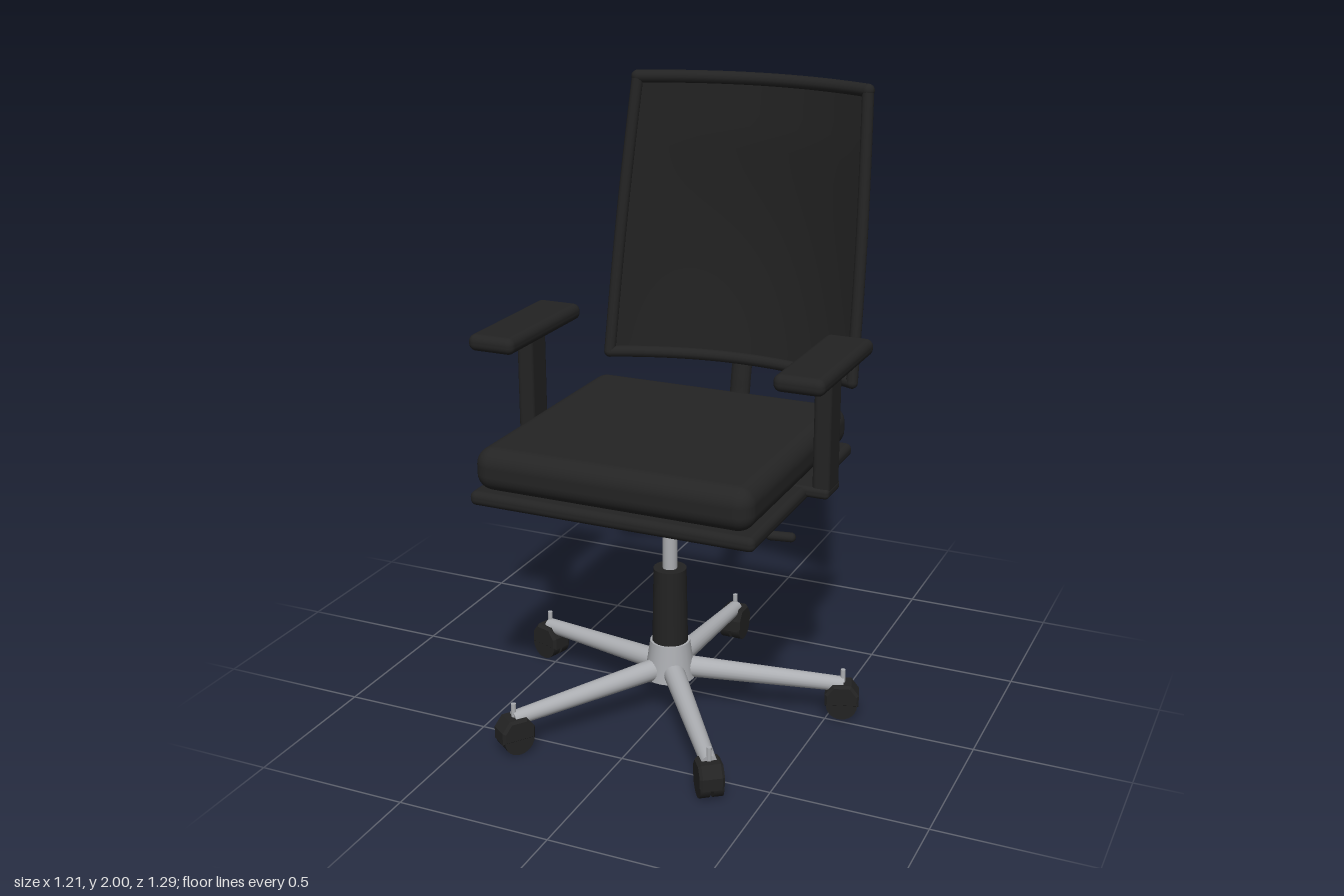
import * as THREE from 'three';
import { RoundedBoxGeometry } from 'three/addons/geometries/RoundedBoxGeometry.js';

const V = (x, y, z) => new THREE.Vector3(x, y, z);
const COLUMN_Z = 0.127;

export function createModel() {
  const paint = (name, color, side = THREE.FrontSide) => {
    const m = new THREE.MeshStandardMaterial({ color, side });
    m.name = name;
    return m;
  };
  const black = paint('black plastic', 0x232323);
  const fabric = paint('seat fabric', 0x242424);
  const meshCloth = paint('back mesh', 0x202020, THREE.DoubleSide);
  const metal = paint('silver metal', 0xacaeb2);

  const root = new THREE.Group();
  root.name = 'officeChair';

  const add = (name, geometry, material, parent = root, pos = [0, 0, 0]) => {
    const m = new THREE.Mesh(geometry, material);
    m.name = name;
    m.position.set(...pos);
    parent.add(m);
    return m;
  };
  const box = (name, w, h, d, r, pos, material = black, parent = root) =>
    add(name, new RoundedBoxGeometry(w, h, d, 4, r), material, parent, pos);
  // Straight rod between two points, r0 at the start and r1 at the end
  const rod = (name, a, b, r0, r1, material, parent = root) => {
    const d = b.clone().sub(a);
    const m = add(name, new THREE.CylinderGeometry(r1, r0, d.length(), 20), material, parent);
    m.position.copy(a).addScaledVector(d, 0.5);
    m.quaternion.setFromUnitVectors(V(0, 1, 0), d.normalize());
    return m;
  };
  // Bent tube with rounded ends
  const tube = (name, points, r, material, parent = root) => {
    const g = new THREE.Group();
    g.name = name;
    parent.add(g);
    add(name + 'Body', new THREE.TubeGeometry(new THREE.CatmullRomCurve3(points), 40, r, 12), material, g);
    for (const p of [points[0], points[points.length - 1]])
      add(name + 'End', new THREE.SphereGeometry(r, 12, 8), material, g, p.toArray());
    return g;
  };

  // Seat cushion, pan and tilt mechanism
  box('seatCushion', 0.91, 0.138, 0.88, 0.055, [0, 0.931, 0.147], fabric);
  box('seatPan', 0.935, 0.046, 0.89, 0.02, [0, 0.838, 0.142]);
  box('tiltMechanism', 0.37, 0.092, 0.46, 0.03, [0, 0.77, 0.125]);

  // Height lever on the left
  tube('heightLever', [V(0.15, 0.772, 0.335), V(0.3, 0.765, 0.32), V(0.42, 0.754, 0.295)], 0.009, black);
  tube('leverHandle', [V(0.41, 0.754, 0.297), V(0.47, 0.751, 0.28)], 0.015, black);

  // Column
  const column = new THREE.Group();
  column.name = 'column';
  column.position.z = COLUMN_Z;
  root.add(column);
  rod('gasLift', V(0, 0.48, 0), V(0, 0.74, 0), 0.024, 0.024, metal, column);
  rod('columnSleeve', V(0, 0.24, 0), V(0, 0.505, 0), 0.059, 0.054, black, column);

  // Five-legged base
  const base = new THREE.Group();
  base.name = 'base';
  base.position.z = COLUMN_Z;
  root.add(base);
  rod('hub', V(0, 0.12, 0), V(0, 0.248, 0), 0.084, 0.066, metal, base);

  // Caster hood: faceted half shell seen from the side
  const hood = new THREE.Shape();
  hood.moveTo(-0.056, 0.045);
  hood.lineTo(0.056, 0.045);
  hood.lineTo(0.056, 0.085);
  hood.lineTo(0.03, 0.12);
  hood.lineTo(-0.03, 0.12);
  hood.lineTo(-0.056, 0.085);
  hood.closePath();
  const hoodGeo = new THREE.ExtrudeGeometry(hood, {
    depth: 0.06, bevelEnabled: true, bevelThickness: 0.009, bevelSize: 0.008, bevelOffset: -0.008, bevelSegments: 1,
  }).translate(0, 0, -0.03);
  const wheelGeo = new THREE.CylinderGeometry(0.051, 0.051, 0.032, 24).rotateX(Math.PI / 2);

  for (let i = 0; i < 5; i++) {
    const arm = new THREE.Group();
    arm.name = 'leg' + (i + 1);
    arm.rotation.y = Math.PI / 2 + (i * Math.PI * 2) / 5; // first leg points back
    base.add(arm);
    rod('legTube', V(0.03, 0.155, 0), V(0.572, 0.112, 0), 0.036, 0.025, metal, arm);
    rod('casterPin', V(0.57, 0.1, 0), V(0.57, 0.165, 0), 0.008, 0.008, metal, arm);
    add('casterHood', hoodGeo, black, arm, [0.568, 0, 0]);
    for (const s of [-1, 1]) add('casterWheel', wheelGeo, black, arm, [0.568, 0.051, s * 0.021]);
  }

  // Armrests
  for (const s of [-1, 1]) {
    const arm = new THREE.Group();
    arm.name = s > 0 ? 'leftArmrest' : 'rightArmrest';
    root.add(arm);
    box('armPad', 0.16, 0.054, 0.48, 0.024, [s * 0.508, 1.257, 0.122], black, arm);
    box('armPost', 0.056, 0.4, 0.106, 0.015, [s * 0.509, 1.043, 0.087], black, arm);
    box('armBracket', 0.13, 0.035, 0.118, 0.014, [s * 0.473, 0.847, 0.088], black, arm);
  }

  // Backrest surface: u from -1 to 1 across, t from 0 to 1 upward
  const backPoint = (u, t, bulge = 1) => {
    const half = THREE.MathUtils.lerp(0.442, 0.408, t) + 0.006 * Math.sin(Math.PI * t);
    const bow = THREE.MathUtils.lerp(0.103, 0.097, t) * u * u;
    const lumbar = t < 0.8 ? 0.026 * Math.sin((Math.PI * t) / 0.8) * (1 - u * u) * bulge : 0;
    return V(u * half, THREE.MathUtils.lerp(1.05, 1.978, t), THREE.MathUtils.lerp(-0.453, -0.621, t) + bow - lumbar);
  };
  const back = new THREE.Group();
  back.name = 'backrest';
  root.add(back);
  const sheet = new THREE.PlaneGeometry(2, 1, 24, 24);
  const p = sheet.attributes.position;
  for (let i = 0; i < p.count; i++) {
    const q = backPoint(p.getX(i), p.getY(i) + 0.5);
    p.setXYZ(i, q.x, q.y, q.z);
  }
  sheet.computeVertexNormals();
  add('backMesh', sheet, meshCloth, back);
  const steps = [...Array(13).keys()].map((i) => i / 12);
  tube('topRail', steps.map((k) => backPoint(k * 2 - 1, 1)), 0.022, black, back);
  tube('bottomRail', steps.map((k) => backPoint(k * 2 - 1, 0)), 0.02, black, back);
  for (const s of [-1, 1])
    tube(s > 0 ? 'leftRail' : 'rightRail', steps.map((k) => backPoint(s, k)), 0.02, black, back);

  // Curved support from the mechanism up to the backrest
  const support = tube('backSupport', [
    V(0, 0.777, -0.05), V(0, 0.785, -0.2), V(0, 0.8, -0.33), V(0, 0.845, -0.41),
    V(0, 0.9, -0.457), V(0, 0.98, -0.475), V(0, 1.09, -0.497),
  ], 0.028, black);
  support.scale.x = 1.3;

  return root;
}
